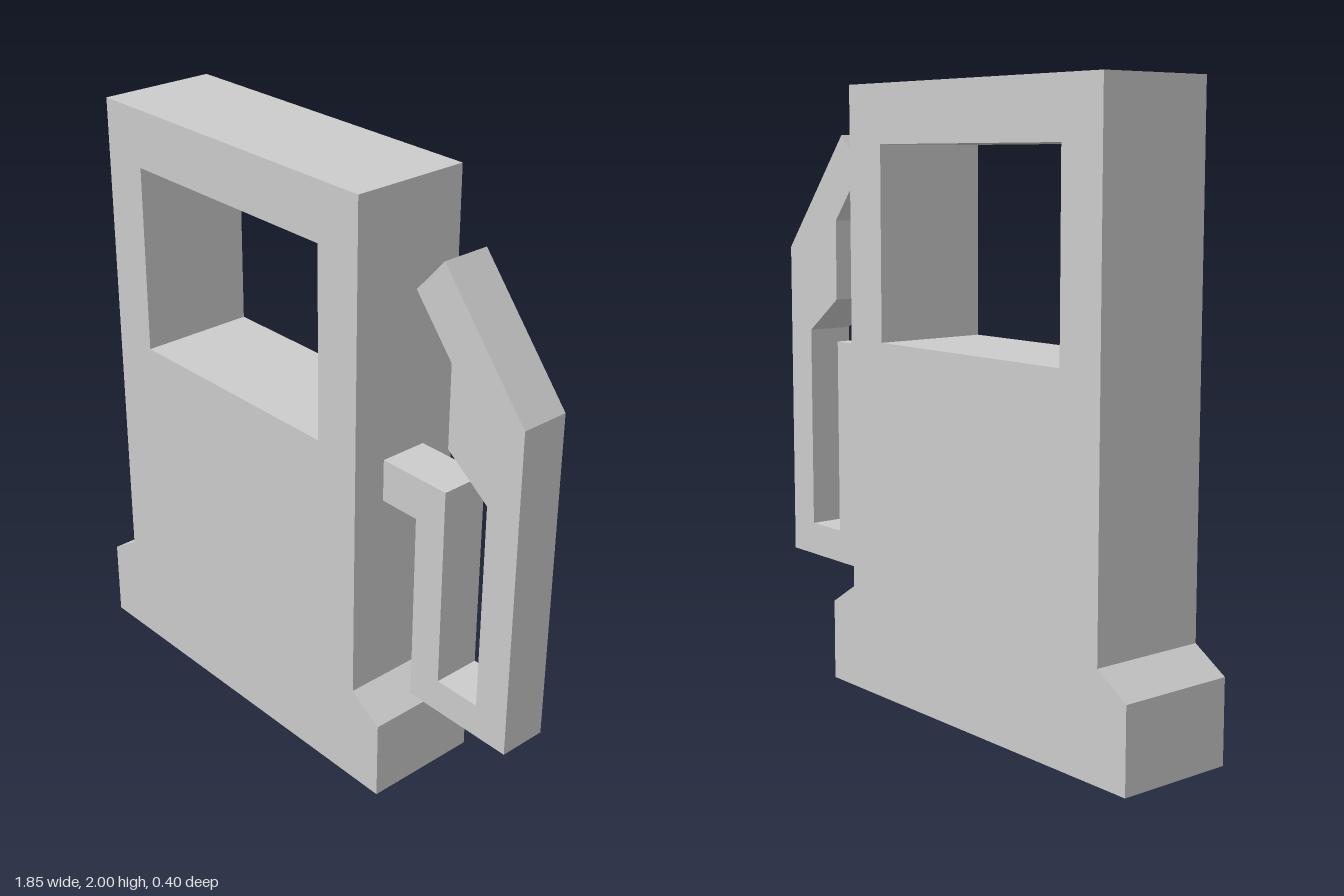
import * as THREE from 'three';

const material = new THREE.MeshStandardMaterial({ color: 0xcccccc, flatShading: true });

// Extrude an outline in the xy plane between two depths
function slab(name, outline, zBack, zFront, hole) {
  const toPoints = (list) => list.map(([x, y]) => new THREE.Vector2(x, y));
  const shape = new THREE.Shape(toPoints(outline));
  if (hole) shape.holes.push(new THREE.Path(toPoints(hole)));
  const geometry = new THREE.ExtrudeGeometry(shape, { depth: zFront - zBack, bevelEnabled: false });
  geometry.translate(0, 0, zBack);
  const mesh = new THREE.Mesh(geometry, material);
  mesh.name = name;
  return mesh;
}

export function createModel() {
  const model = new THREE.Group();
  model.name = 'fuelPump';

  // Cabinet with flared foot and display window, mirrored about its own centre line
  const centre = -0.215;
  const half = [[0.71, 0], [0.71, 0.27], [0.592, 0.345], [0.592, 2]];
  const cabinet = [
    ...half.map(([x, y]) => [centre + x, y]),
    ...half.map(([x, y]) => [centre - x, y]).reverse(),
  ];
  const displayWindow = [[-0.64, 1.18], [-0.64, 1.81], [0.21, 1.81], [0.21, 1.18]];
  model.add(slab('cabinet', cabinet, -0.2, 0.2, displayWindow));

  // Hose leaving the cabinet side, looping up into the nozzle
  const hose = [
    [0.377, 1.0], [0.52, 1.0], [0.52, 0.36], [0.922, 0.36], [0.922, 1.455],
    [0.6, 1.845], [0.495, 1.73], [0.64, 1.555], [0.64, 1.285], [0.8, 1.168],
    [0.8, 0.472], [0.637, 0.472], [0.637, 1.14], [0.377, 1.14],
  ];
  model.add(slab('hoseAndNozzle', hose, -0.077, 0.085));

  return model;
}
